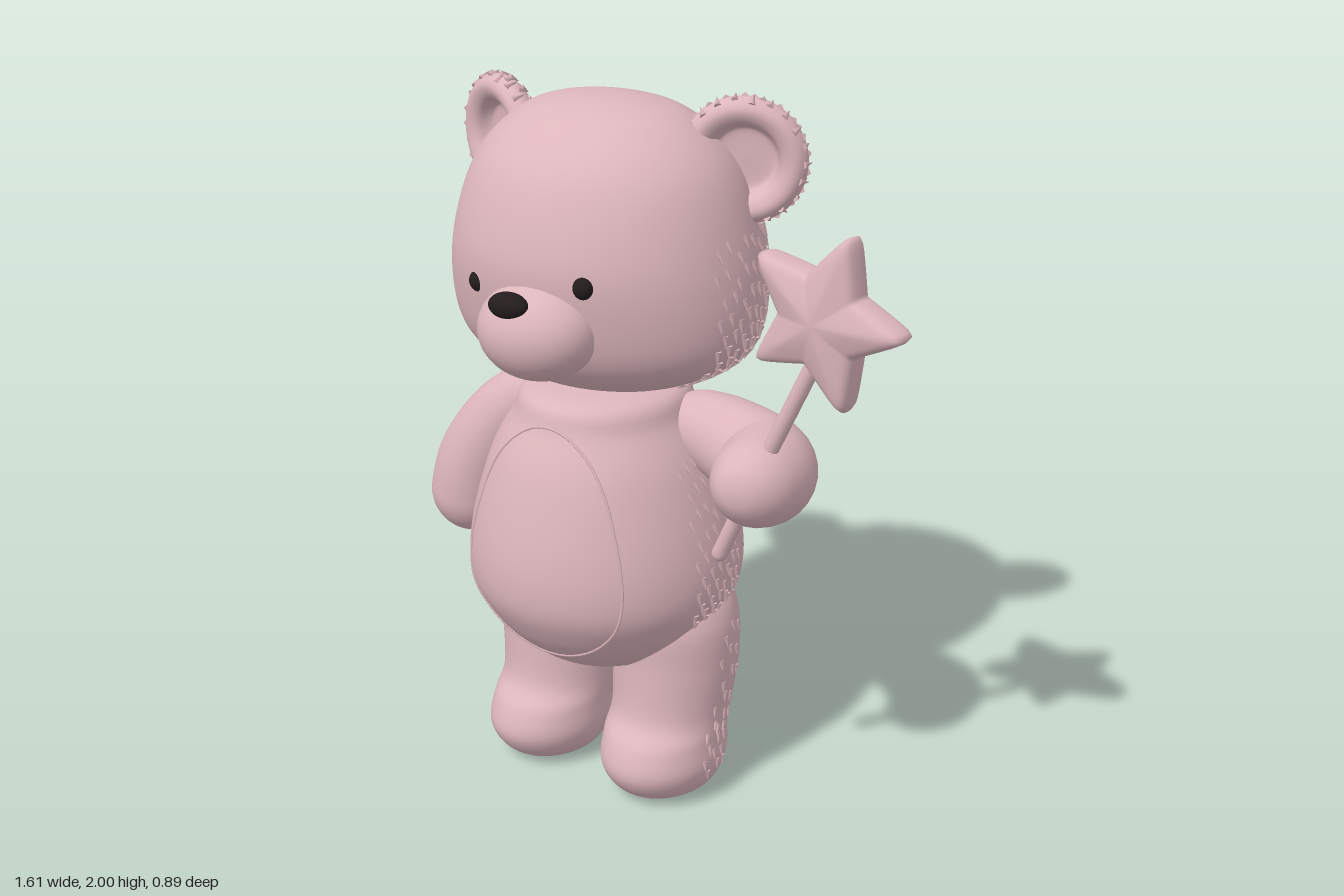
import * as THREE from 'three';
import { mergeGeometries, mergeVertices } from 'three/addons/utils/BufferGeometryUtils.js';

const plush = new THREE.MeshStandardMaterial({ color: 0xdcb6bc });
plush.name = 'dusty pink plush';
const dark = new THREE.MeshStandardMaterial({ color: 0x241c1d });
dark.name = 'near black';

// Smooth interpolation through rows of numbers, t from 0 to 1
function spline(rows, t) {
  const n = rows.length - 1;
  const i = Math.min(Math.floor(t * n), n - 1), f = t * n - i;
  const p = [-1, 0, 1, 2].map((k) => rows[Math.max(0, Math.min(n, i + k))]);
  return rows[0].map((_, c) => {
    const [a, b, d, e] = p.map((r) => r[c]);
    return 0.5 * (2 * b + (d - a) * f + (2 * a - 5 * b + 4 * d - e) * f * f + (3 * b - a - 3 * d + e) * f * f * f);
  });
}

// Surface through elliptical sections [y, rx, rz, cx, cz], listed from the bottom up
function loft(rows, shape = () => 1, nv = 56, na = 56) {
  const at = (v, a) => {
    const [y, rx, rz, cx, cz] = spline(rows, v);
    const s = shape(a);
    return new THREE.Vector3(cx + rx * s * Math.cos(a), y, cz + rz * s * Math.sin(a));
  };
  const pos = [], index = [];
  for (let i = 0; i <= nv; i++) {
    for (let j = 0; j < na; j++) {
      pos.push(...at(i / nv, (j / na) * Math.PI * 2).toArray());
      if (i === nv) continue;
      const p = i * na + j, q = i * na + ((j + 1) % na);
      index.push(p, p + na, q, q, p + na, q + na);
    }
  }
  const geometry = new THREE.BufferGeometry();
  geometry.setAttribute('position', new THREE.Float32BufferAttribute(pos, 3));
  geometry.setIndex(index);
  geometry.computeVertexNormals();
  return { geometry, at };
}

// Round-ended limb along points, with radii spread evenly along its length
function limb(points, radii, segs = 64, sides = 28) {
  const curve = new THREE.CatmullRomCurve3(points.map((p) => new THREE.Vector3(...p)));
  const length = curve.getLength();
  const g = new THREE.TubeGeometry(curve, segs, 1, sides);
  const pos = g.attributes.position, v = new THREE.Vector3();
  for (let i = 0; i < pos.count; i++) {
    const u = Math.floor(i / (sides + 1)) / segs;
    const r = spline(radii.map((x) => [x]), u)[0];
    const d = Math.min(1, (Math.min(u, 1 - u) * length) / r);
    const c = curve.getPointAt(u);
    v.fromBufferAttribute(pos, i).sub(c).multiplyScalar(r * Math.sqrt(Math.max(0, 1 - (1 - d) ** 2))).add(c);
    pos.setXYZ(i, v.x, v.y, v.z);
  }
  g.deleteAttribute('normal');
  g.deleteAttribute('uv');
  const welded = mergeVertices(g, 1e-5);
  welded.computeVertexNormals();
  return welded;
}

// Staggered rows of small fur tufts lying on a lofted surface
function furPatch(surface, [v0, v1, nv], [a0, a1, na], size = 1) {
  const tufts = [], e = 0.004;
  for (let i = 0; i < nv; i++) {
    for (let j = 0; j < na; j++) {
      const v = v0 + ((v1 - v0) * (i + 0.3 * Math.sin(j * 2.3))) / nv;
      const a = a0 + ((a1 - a0) * (j + 0.5 * (i % 2))) / na;
      const p = surface.at(v, a);
      const up = surface.at(v + e, a).sub(p).normalize();
      const normal = up.clone().cross(surface.at(v, a + e).sub(p)).normalize();
      const dir = up.multiplyScalar(-0.95).addScaledVector(normal, 0.28).normalize();
      const side = dir.clone().cross(normal).normalize();
      const m = new THREE.Matrix4().makeBasis(side, dir, side.clone().cross(dir));
      m.setPosition(p);
      tufts.push(new THREE.ConeGeometry(0.013 * size, 0.045 * size, 5).applyMatrix4(m));
    }
  }
  return mergeGeometries(tufts);
}

export function createModel() {
  const model = new THREE.Group();
  const add = (name, geometry, material = plush, parent = model) => {
    const mesh = new THREE.Mesh(geometry, material);
    mesh.name = name;
    parent.add(mesh);
    return mesh;
  };
  const ball = (name, [x, y, z], [sx, sy, sz], material = plush) => {
    const m = add(name, new THREE.SphereGeometry(1, 40, 28), material);
    m.position.set(x, y, z);
    m.scale.set(sx, sy, sz);
    return m;
  };

  // Head, with wide low cheeks
  const head = loft([
    [1.18, 0, 0], [1.18, 0.15, 0.13], [1.22, 0.3, 0.245], [1.3, 0.42, 0.335], [1.42, 0.455, 0.38],
    [1.6, 0.437, 0.395], [1.8, 0.37, 0.325], [1.92, 0.25, 0.2], [1.962, 0.12, 0.09], [1.97, 0, 0],
  ].map((r) => [...r, -0.23, -0.048]));
  add('head', head.geometry);

  // Egg-shaped body
  const body = loft([
    [0.36, 0, 0], [0.365, 0.08, 0.08], [0.4, 0.19, 0.19], [0.47, 0.28, 0.28], [0.55, 0.345, 0.345],
    [0.65, 0.385, 0.388], [0.8, 0.375, 0.382], [1, 0.315, 0.33], [1.12, 0.25, 0.27], [1.2, 0.2, 0.22], [1.22, 0, 0],
  ].map((r) => [...r, -0.175, 0.05]));
  add('body', body.geometry);

  // Belly seam
  const seam = [];
  for (let i = 0; i < 48; i++) {
    const t = (i / 48) * Math.PI * 2;
    seam.push(body.at(0.56 + 0.26 * Math.cos(t), Math.PI / 2 + 0.74 * Math.sin(t)));
  }
  add('bellySeam', new THREE.TubeGeometry(new THREE.CatmullRomCurve3(seam, true), 120, 0.004, 6, true));

  // Legs with forward feet, and side fur
  for (const s of [1, -1]) {
    const name = s > 0 ? 'left' : 'right';
    const leg = loft([
      [0, 0, 0, 0.2, 0.06], [0.003, 0.08, 0.1, 0.2, 0.065], [0.03, 0.14, 0.165, 0.203, 0.068],
      [0.1, 0.17, 0.205, 0.203, 0.072], [0.18, 0.168, 0.197, 0.2, 0.058], [0.25, 0.17, 0.175, 0.198, 0.025],
      [0.4, 0.183, 0.178, 0.2, 0.008], [0.54, 0.18, 0.175, 0.2, 0.008], [0.63, 0.13, 0.13, 0.2, 0], [0.66, 0, 0, 0.2, 0],
    ].map(([y, rx, rz, cx, cz]) => [y, rx, rz, -0.167 + s * cx, cz]));
    add(name + 'Leg', leg.geometry);
    const mid = s > 0 ? 0 : Math.PI;
    add(name + 'LegFur', furPatch(leg, [0.32, 0.8, 9], [mid - 0.3, mid + 0.3, 3], 0.75));
    add(name + 'BodyFur', furPatch(body, [0.42, 0.74, 10], [mid - 0.28, mid + 0.28, 6], 0.85));
    add(name + 'HeadFur', furPatch(head, [0.22, 0.6, 10], [mid + s * 0.28, mid - s * 0.8, 11], 0.9));
  }

  // Ears: rounded back, thick rim and a shallow cup in front
  const ear = loft([
    [-0.05, 0], [-0.048, 0.06], [-0.038, 0.12], [-0.008, 0.162], [0.025, 0.172], [0.05, 0.155],
    [0.056, 0.132], [0.042, 0.105], [0.012, 0.09], [0, 0.07], [0, 0],
  ].map(([y, r]) => [y, r, r, 0, 0]));
  const earFur = furPatch(ear, [0.12, 0.48, 5], [0, Math.PI * 2, 22], 0.8);
  for (const [name, x, y, z, yaw] of [['leftEar', 0.13, 1.82, -0.17, 0.42], ['rightEar', -0.63, 1.785, -0.12, -0.38]]) {
    const g = new THREE.Group();
    g.name = name;
    g.position.set(x, y, z);
    g.rotation.set(Math.PI / 2, 0, -yaw);
    g.rotation.order = 'YXZ';
    g.rotation.set(Math.PI / 2, yaw, 0);
    add(name + 'Cup', ear.geometry, plush, g);
    add(name + 'Fur', earFur, plush, g);
    model.add(g);
  }

  // Face
  ball('muzzle', [-0.205, 1.412, 0.3], [0.175, 0.137, 0.147]).rotation.z = 0.08;
  ball('nose', [-0.22, 1.505, 0.408], [0.06, 0.036, 0.034], dark).rotation.set(-0.4, 0, 0.08);
  ball('rightEye', [-0.4, 1.51, 0.305], [0.028, 0.03, 0.025], dark);
  ball('leftEye', [-0.05, 1.557, 0.312], [0.028, 0.03, 0.025], dark);

  // Arms: one hanging, one bent forward around the wand
  add('rightArm', limb([[-0.38, 1.14, 0], [-0.54, 1.01, 0.01], [-0.65, 0.84, 0.025], [-0.705, 0.61, 0.035]],
    [0.08, 0.11, 0.125, 0.12]));
  add('leftArm', limb([[-0.02, 1.1, -0.04], [0.18, 1.075, -0.03], [0.34, 1.05, 0.03], [0.4, 1.085, 0.28]],
    [0.09, 0.12, 0.135, 0.1]));

  // Wand with a puffy five-pointed star
  add('wandStick', limb([[0.268, 0.81, 0.16], [0.405, 1.12, 0.155], [0.56, 1.47, 0.135]], [0.022, 0.022, 0.022], 64, 14));
  const sector = Math.PI / 5;
  const starEdge = (a) => {
    const m = Math.abs(((((a + sector) % (2 * sector)) + 2 * sector) % (2 * sector)) - sector);
    const b = Math.min(sector, Math.sqrt(m * m + 0.0025));
    return (0.265 * 0.128 * Math.sin(sector)) / (0.128 * Math.sin(sector - b) + 0.265 * Math.sin(b)) *
      1;
  };
  const star = loft([
    [-0.07, 0], [-0.066, 0.3], [-0.055, 0.65], [-0.042, 0.9], [-0.02, 0.99],
    [0.02, 0.99], [0.042, 0.9], [0.055, 0.65], [0.066, 0.3], [0.07, 0],
  ].map(([y, r]) => [y, r, r, 0, 0]), starEdge, 45, 120);
  const wandStar = add('wandStar', star.geometry.rotateX(Math.PI / 2));
  wandStar.position.set(0.564, 1.544, 0.128);
  wandStar.rotation.y = -0.06;
  return model;
}
